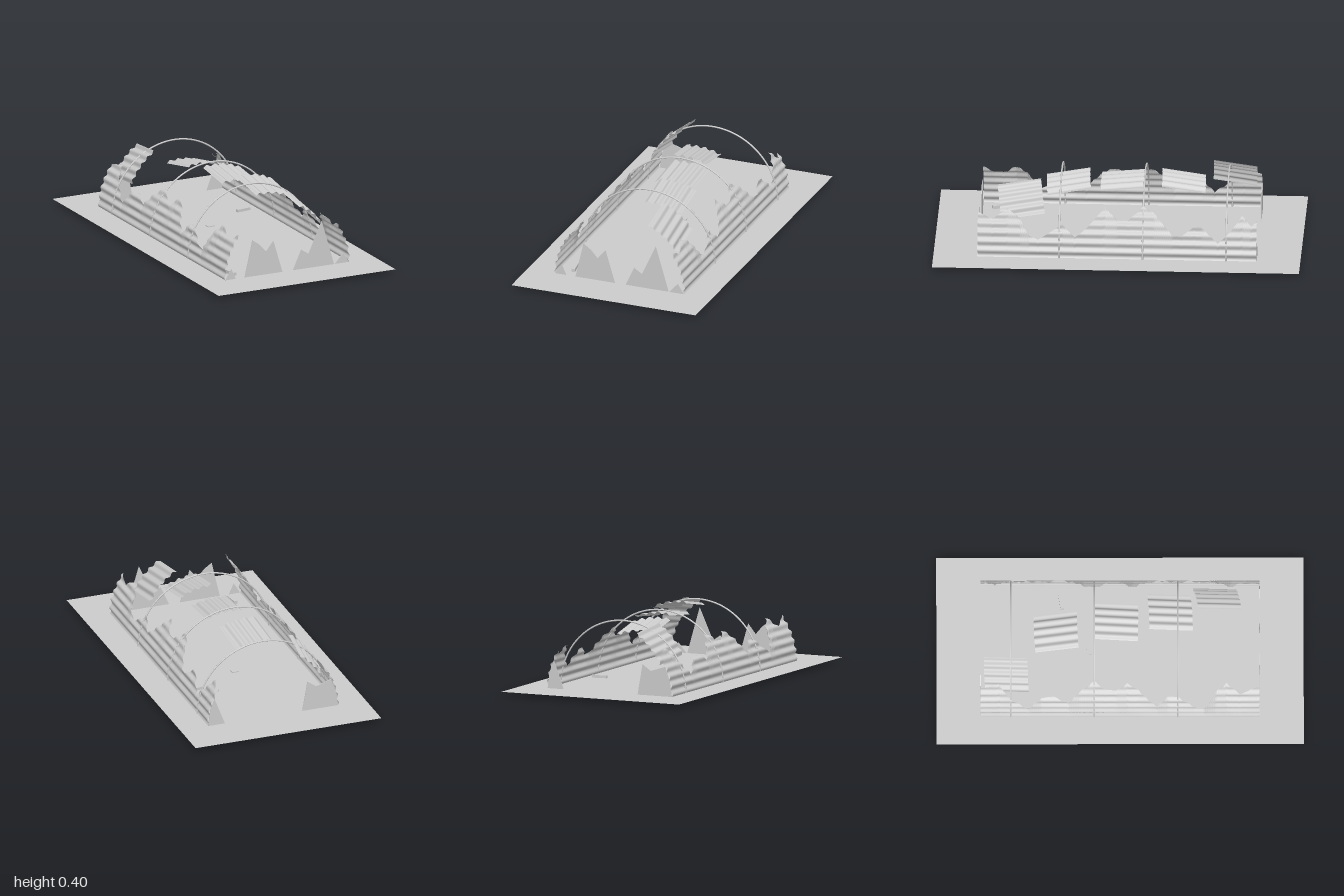
import * as THREE from 'three';

const R = 0.378, FLOOR = 0.02;

export function createModel() {
  const group = new THREE.Group();
  const grey = new THREE.MeshStandardMaterial({ color: 0xcccccc, side: THREE.DoubleSide });
  grey.name = 'weathered grey';

  const add = (name, geometry, x = 0, y = 0, z = 0) => {
    const mesh = new THREE.Mesh(geometry, grey);
    mesh.name = name;
    mesh.position.set(x, y, z);
    group.add(mesh);
    return mesh;
  };

  // Corrugated sheet: map(u, v) returns [angle from the crown, z]
  const corrugated = (nu, nv, map) => {
    const g = new THREE.PlaneGeometry(1, 1, nu, nv);
    const p = g.attributes.position;
    for (let i = 0; i < p.count; i++) {
      const [a, z] = map(p.getX(i) + 0.5, p.getY(i) + 0.5);
      const r = R + 0.006 * Math.sin(a * 48);
      p.setXYZ(i, r * Math.sin(a), r * Math.cos(a), z);
    }
    g.computeVertexNormals();
    return g;
  };

  // Ground sheet and the foundation below it
  add('ground', new THREE.PlaneGeometry(1.08, 2).rotateX(-Math.PI / 2), 0, FLOOR, 0);
  add('foundation', new THREE.BoxGeometry(0.806, 0.0195, 1.57), 0, 0.00975, 0);

  // Torn side walls: pairs of z and height of the ragged top edge
  const rightEdge = [
    [-0.76, 0.23], [-0.73, 0.205], [-0.68, 0.255], [-0.62, 0.18], [-0.55, 0.115], [-0.46, 0.195],
    [-0.42, 0.2], [-0.35, 0.15], [-0.3, 0.155], [-0.2, 0.26], [-0.14, 0.285], [-0.06, 0.225],
    [0, 0.225], [0.07, 0.28], [0.17, 0.18], [0.23, 0.135], [0.3, 0.2], [0.38, 0.15],
    [0.43, 0.12], [0.48, 0.14], [0.53, 0.225], [0.6, 0.27], [0.68, 0.22], [0.76, 0.25]];
  const leftEdge = [
    [-0.76, 0.25], [-0.66, 0.27], [-0.6, 0.19], [-0.5, 0.11], [-0.43, 0.19], [-0.36, 0.2],
    [-0.28, 0.16], [-0.22, 0.23], [-0.14, 0.285], [-0.08, 0.24], [-0.02, 0.235], [0.04, 0.275],
    [0.1, 0.24], [0.2, 0.13], [0.26, 0.2], [0.32, 0.195], [0.4, 0.13], [0.46, 0.11],
    [0.52, 0.23], [0.58, 0.275], [0.65, 0.22], [0.7, 0.235], [0.76, 0.265]];
  const heightAt = (edge, z) => {
    let i = 1;
    while (i < edge.length - 1 && edge[i][0] < z) i++;
    const [z0, h0] = edge[i - 1], [z1, h1] = edge[i];
    return THREE.MathUtils.lerp(h0, h1, (z - z0) / (z1 - z0));
  };
  for (const [name, side, edge] of [['rightShell', 1, rightEdge], ['leftShell', -1, leftEdge]]) {
    add(name, corrugated(40, 152, (u, v) => {
      const z = (v - 0.5) * 1.52;
      const rise = Math.asin((heightAt(edge, z) - FLOOR) / R) * u;
      return [side * (Math.PI / 2 - rise), z];
    }), 0, FLOOR, 0);
  }

  // Bare arched ribs
  for (const z of [0.315, -0.14, -0.595]) {
    add('rib', new THREE.TorusGeometry(0.38, 0.0045, 8, 64, Math.PI), 0, 0.0145, z);
  }

  // Loose roof sheets: centre, then tilt, yaw and roll
  const sheets = [
    [-0.245, 0.292, -0.62, -0.11, -0.07, 0.86],
    [0, 0.342, -0.35, -0.17, 0.06, -0.11],
    [0.05, 0.362, -0.02, 0.1, -0.02, -0.12],
    [0.103, 0.37, 0.275, 0.17, 0.02, -0.2],
    [0.213, 0.303, 0.53, 0.16, 0.03, -0.75]];
  for (const [x, y, z, tilt, yaw, roll] of sheets) {
    const g = corrugated(48, 1, (u, v) => [(u - 0.5) * 0.58, (v - 0.5) * 0.24]);
    const sheet = add('roofSheet', g.translate(0, -R, 0), x, y, z);
    sheet.rotation.set(tilt, yaw, roll, 'YXZ');
  }

  // Jagged remains of the end walls
  const shard = (name, z, points) => {
    const shape = new THREE.Shape(points.map(([x, y]) => new THREE.Vector2(x, y)));
    add(name, new THREE.ExtrudeGeometry(shape, { depth: 0.004, bevelEnabled: false }), 0, 0, z - 0.002);
  };
  shard('frontWallLeftShard', 0.76, [[-0.26, FLOOR], [-0.03, FLOOR], [-0.085, 0.205], [-0.13, 0.15], [-0.17, 0.195], [-0.213, 0.225]]);
  shard('frontWallRightShard', 0.76, [[0.035, FLOOR], [0.285, FLOOR], [0.21, 0.275], [0.13, 0.1], [0.085, 0.13]]);
  shard('frontWallSmallShard', 0.76, [[0.29, FLOOR], [0.375, FLOOR], [0.34, 0.075]]);
  shard('frontWallSmallShard', 0.76, [[-0.378, FLOOR], [-0.315, FLOOR], [-0.342, 0.08]]);
  shard('backWallLeftShard', -0.76, [[-0.377, FLOOR], [-0.17, FLOOR], [-0.2, 0.19], [-0.25, 0.155], [-0.337, 0.183], [-0.365, 0.1]]);
  shard('backWallRightShard', -0.76, [[0.28, FLOOR], [0.377, FLOOR], [0.365, 0.11], [0.34, 0.175]]);

  // Scattered debris: position, size and yaw
  const debris = [
    [0.28, 0.033, -0.32, 0.085, 0.015, 0.02, 0.15],
    [-0.3, 0.029, 0.67, 0.02, 0.018, 0.08, 0.15],
    [0, 0.022, -0.165, 0.04, 0.006, 0.03, 0.1],
    [-0.17, 0.01, 0.79, 0.06, 0.006, 0.05, 0.3]];
  for (const [x, y, z, w, h, d, yaw] of debris) {
    add('debris', new THREE.BoxGeometry(w, h, d), x, y, z).rotation.y = yaw;
  }

  return group;
}
